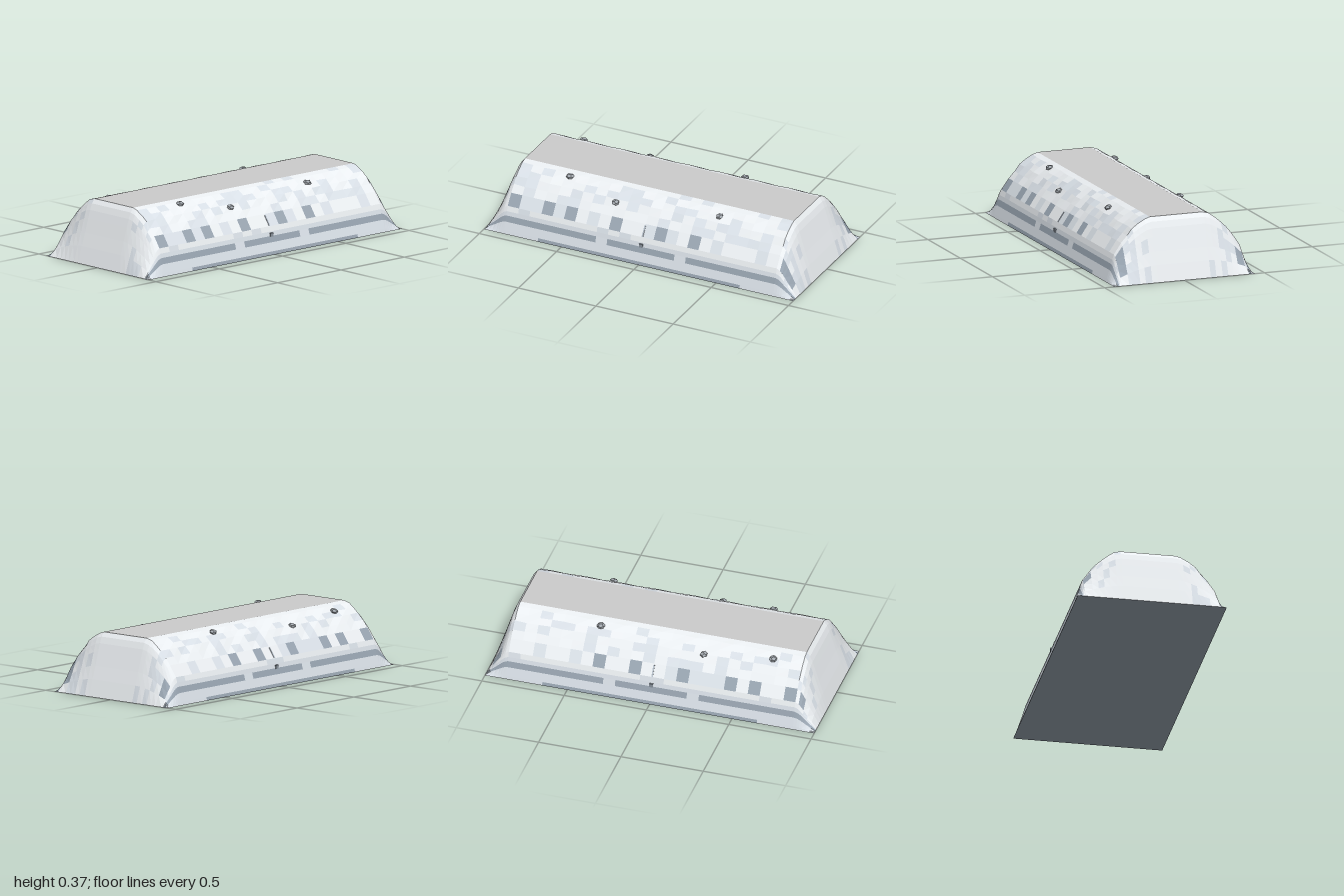
import * as THREE from 'three';

const TOP = 0.365;
// Half profile [z, y] from the front foot up to the flat crown
const half = [[0.44, 0], [0.434, 0.02], [0.418, 0.07], [0.407, 0.105], [0.4, 0.13], [0.39, 0.16],
  [0.345, 0.225], [0.31, 0.265], [0.275, 0.303], [0.24, 0.33], [0.2, 0.355], [0.165, 0.365]];
const profile = [...half, ...half.slice().reverse().map(([z, y]) => [-z, y])];

// Columns along the length [x, height factor]; the ends sink to the ground
const end = [[1, 0], [0.97, 0.27], [0.945, 0.48], [0.92, 0.7], [0.905, 0.83], [0.89, 0.93]];
const INNER = 24;
const columns = end.map(([x, h]) => [-x, h]);
for (let i = 0; i <= INNER; i++) columns.push([-0.87 + (1.74 * i) / INNER, 1]);
columns.push(...end.slice().reverse());

const colors = { snow: 0xeaeef1, shade: 0xd8dfe6, slate: 0x98a4b0, crown: 0xe4e4e4 };
const darkPatches = [0, 3, 5, 9, 13, 16];

function seeded(seed) {
  return () => {
    seed = (seed * 16807) % 2147483647;
    return seed / 2147483647;
  };
}

function surfacePoint(i, j) {
  const [x, h] = columns[i];
  let [z, y] = profile[j];
  const row = Math.min(j, profile.length - 1 - j);
  // slight unevenness of the banked slope
  if (row > 6 && row < 11 && h === 1) z += 0.004 * Math.sin(i * 2.1 + row * 1.7);
  return [x, y * h, z];
}

// Height of the slope at a given distance from the centre line
function slopeHeight(z) {
  const a = Math.abs(z);
  for (let k = 0; k < half.length - 1; k++) {
    const [z0, y0] = half[k], [z1, y1] = half[k + 1];
    if (a <= z0 && a >= z1) return y0 + ((y1 - y0) * (z0 - a)) / (z0 - z1);
  }
  return TOP;
}

// Picks the finish of one surface cell
function cellFinish(i, j, random) {
  const last = profile.length - 2;
  const row = Math.min(j, last - j);
  const k = i - end.length;
  const inner = k >= 0 && k < INNER;
  const r = random();
  if (row === 11) return inner ? 'crown' : 'snow';
  if (row === 0) return k > 2 && k < 21 ? 'slate' : 'shade';
  if (row === 2) return k === 8 || k === 15 ? 'shade' : 'slate';
  if (row === 1 || row === 3) return 'shade';
  if (row === 5 && (darkPatches.includes(k) || (!inner && r < 0.4))) return 'slate';
  if (row >= 5 && row <= 8) return r < 0.4 ? 'shade' : 'snow';
  return r < 0.15 ? 'shade' : 'snow';
}

export function createModel() {
  const group = new THREE.Group();
  const material = (color) => new THREE.MeshStandardMaterial({ color, flatShading: true });
  const add = (geometry, mat, name, x = 0, y = 0, z = 0) => {
    const mesh = new THREE.Mesh(geometry, mat);
    mesh.name = name;
    mesh.position.set(x, y, z);
    group.add(mesh);
    return mesh;
  };

  // Snow bank: one skin, its cells sorted by finish
  const random = seeded(71);
  const cells = { snow: [], shade: [], slate: [], crown: [] };
  for (let i = 0; i < columns.length - 1; i++) {
    for (let j = 0; j < profile.length - 1; j++) {
      const a = surfacePoint(i, j), b = surfacePoint(i + 1, j);
      const c = surfacePoint(i + 1, j + 1), d = surfacePoint(i, j + 1);
      cells[cellFinish(i, j, random)].push(...a, ...b, ...c, ...a, ...c, ...d);
    }
  }
  for (const [name, positions] of Object.entries(cells)) {
    const geometry = new THREE.BufferGeometry();
    geometry.setAttribute('position', new THREE.Float32BufferAttribute(positions, 3));
    geometry.computeVertexNormals();
    add(geometry, material(colors[name]), name + 'Surface');
  }

  // Underside
  add(new THREE.PlaneGeometry(2, 0.88).rotateX(Math.PI / 2), material(colors.slate), 'underside');

  // Loose stones on both slopes
  const stones = [[-0.55, 0.22], [-0.22, 0.293], [0.43, 0.247], [-0.69, -0.245], [-0.28, -0.28], [0.36, -0.23]];
  const stoneMaterial = material(0xa3a9af);
  stones.forEach(([x, z], n) => {
    const stone = add(new THREE.DodecahedronGeometry(0.024), stoneMaterial, 'stone', x, slopeHeight(z) + 0.007, z);
    stone.scale.set(1, 0.6, 0.95);
    stone.rotation.set(Math.sign(z) * 0.25, n * 1.3, 0);
  });

  // Small peg and thin crack at the middle of each long side
  for (const side of [1, -1]) {
    add(new THREE.BoxGeometry(0.022, 0.022, 0.012), material(0x8a949e), 'peg', 0, 0.112, side * 0.405);
    const crack = add(new THREE.BoxGeometry(0.009, 0.07, 0.004), material(0xb4bec8), 'crack', 0, 0.19, side * 0.37);
    crack.rotation.x = -side * Math.atan2(0.045, 0.065);
  }
  return group;
}
